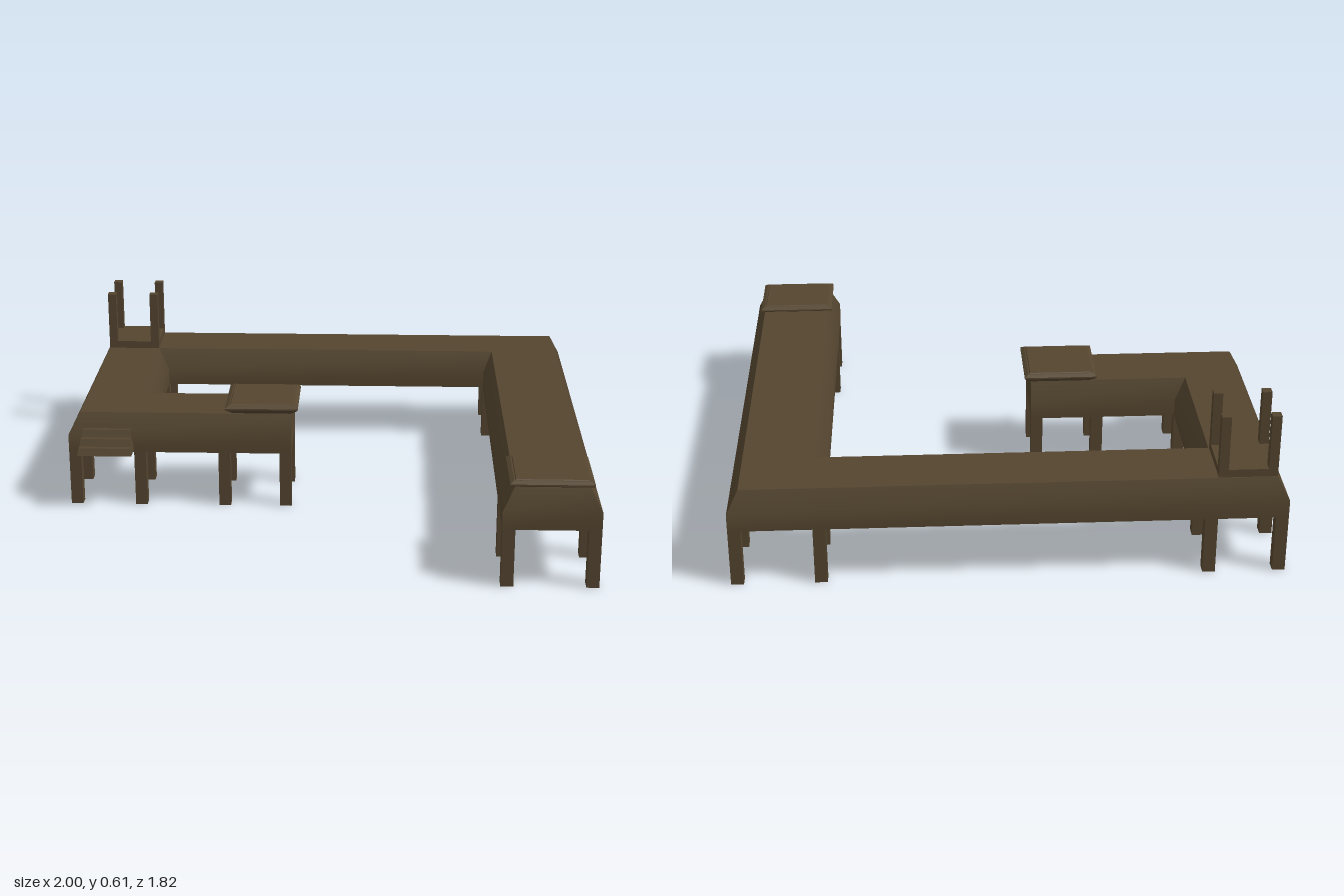
import * as THREE from 'three';
import { toCreasedNormals } from 'three/addons/utils/BufferGeometryUtils.js';

const wood = new THREE.MeshStandardMaterial({ color: 0x54452f });
wood.name = 'dark brown wood';

// Closed solid through plan outlines [x, z] stacked at rising heights
function loft(rings, crease = 0.6) {
  const pos = [];
  const put = (y, p) => pos.push(p[0], y, p[1]);
  for (let r = 0; r < rings.length - 1; r++) {
    const [y0, lo] = rings[r], [y1, hi] = rings[r + 1];
    lo.forEach((a, i) => {
      const j = (i + 1) % lo.length;
      put(y0, a); put(y0, lo[j]); put(y1, hi[j]);
      put(y0, a); put(y1, hi[j]); put(y1, hi[i]);
    });
  }
  const cap = ([y, pts], up) => {
    const flat = pts.map(([x, z]) => new THREE.Vector2(x, -z));
    for (const [a, b, c] of THREE.ShapeUtils.triangulateShape(flat, [])) {
      for (const k of up ? [a, b, c] : [a, c, b]) put(y, pts[k]);
    }
  };
  cap(rings[0], false);
  cap(rings[rings.length - 1], true);
  const geo = new THREE.BufferGeometry();
  geo.setAttribute('position', new THREE.Float32BufferAttribute(pos, 3));
  return toCreasedNormals(geo, crease);
}

// Rectangular plan outline
const rect = (x0, x1, z0, z1) => [[x1, z1], [x1, z0], [x0, z0], [x0, z1]];

export function createModel() {
  const model = new THREE.Group();
  model.name = 'walkway';

  function add(name, geo, parent = model) {
    const mesh = new THREE.Mesh(geo, wood);
    mesh.name = name;
    parent.add(mesh);
    return mesh;
  }
  function box(name, x0, x1, y0, y1, z0, z1, parent) {
    const geo = new THREE.BoxGeometry(x1 - x0, y1 - y0, z1 - z0);
    add(name, geo, parent).position.set((x0 + x1) / 2, (y0 + y1) / 2, (z0 + z1) / 2);
  }
  function group(name) {
    const g = new THREE.Group();
    g.name = name;
    model.add(g);
    return g;
  }

  // Hooked deck: upright skirt, then sides sloping in to the top
  const skirt = [[1, 0.91], [1, -0.91], [-1, -0.91], [-1, 0.2], [-0.13, 0.2],
    [-0.13, -0.1], [-0.7, -0.1], [-0.7, -0.615], [0.655, -0.615], [0.648, 0.91]];
  const top = [[0.957, 0.878], [0.957, -0.878], [-0.957, -0.878], [-0.957, 0.162], [-0.13, 0.162],
    [-0.13, -0.07], [-0.742, -0.07], [-0.742, -0.652], [0.69, -0.652], [0.69, 0.878]];
  add('deck', loft([[0.22, skirt], [0.287, skirt], [0.37, top]]));

  // Legs in fours under each corner and end
  const legs = group('legs');
  const clusters = [
    [[0.672, 0.977], [0.632, 0.888]],
    [[0.677, 0.977], [-0.632, -0.888]],
    [[-0.977, -0.722], [-0.632, -0.888]],
    [[-0.977, -0.722], [0.178, -0.076]],
    [[-0.392, -0.153], [0.178, -0.076]],
  ];
  for (const [xs, zs] of clusters) {
    for (const x of xs) for (const z of zs) {
      box('leg', x - 0.023, x + 0.023, 0, 0.225, z - 0.022, z + 0.022, legs);
    }
  }

  // Bevelled caps with a thin raised panel at both ends
  function endCap(name, x0, x1, z0, z1, yTop) {
    const inset = (d) => rect(x0 + d, x1 - d, z0 + d, z1 - d);
    const g = group(name);
    add('capSlab', loft([[0.365, inset(0.035)], [yTop - 0.018, inset(0)],
      [yTop - 0.012, inset(0)], [yTop - 0.003, inset(0.014)]], 0.2), g);
    add('capPanel', loft([[yTop - 0.004, inset(0.018)], [yTop, inset(0.022)]], 0.2), g);
  }
  endCap('hookEndCap', -0.388, -0.105, -0.1, 0.185, 0.41);
  endCap('longEndCap', 0.672, 0.97, 0.628, 0.9, 0.4);

  // Corner platform with four upright posts
  const tower = group('cornerPlatform');
  box('platformBase', -0.957, -0.745, 0.36, 0.4, -0.875, -0.653, tower);
  for (const x of [-0.957, -0.779]) for (const z of [-0.875, -0.687]) {
    box('post', x, x + 0.034, 0.39, 0.61, z, z + 0.034, tower);
  }

  // Steps against the front wall, each narrower and further back
  const steps = group('steps');
  for (let i = 0; i < 4; i++) {
    const w = 0.105 - i * 0.005, z = 0.282 - i * 0.032, y = 0.232 + i * 0.027;
    add('step', loft([[y, rect(-0.85 - w, -0.85 + w, 0.14, z)],
      [y + 0.027, rect(-0.85 - w + 0.004, -0.85 + w - 0.004, 0.14, z - 0.012)]], 0.2), steps);
  }
  return model;
}
